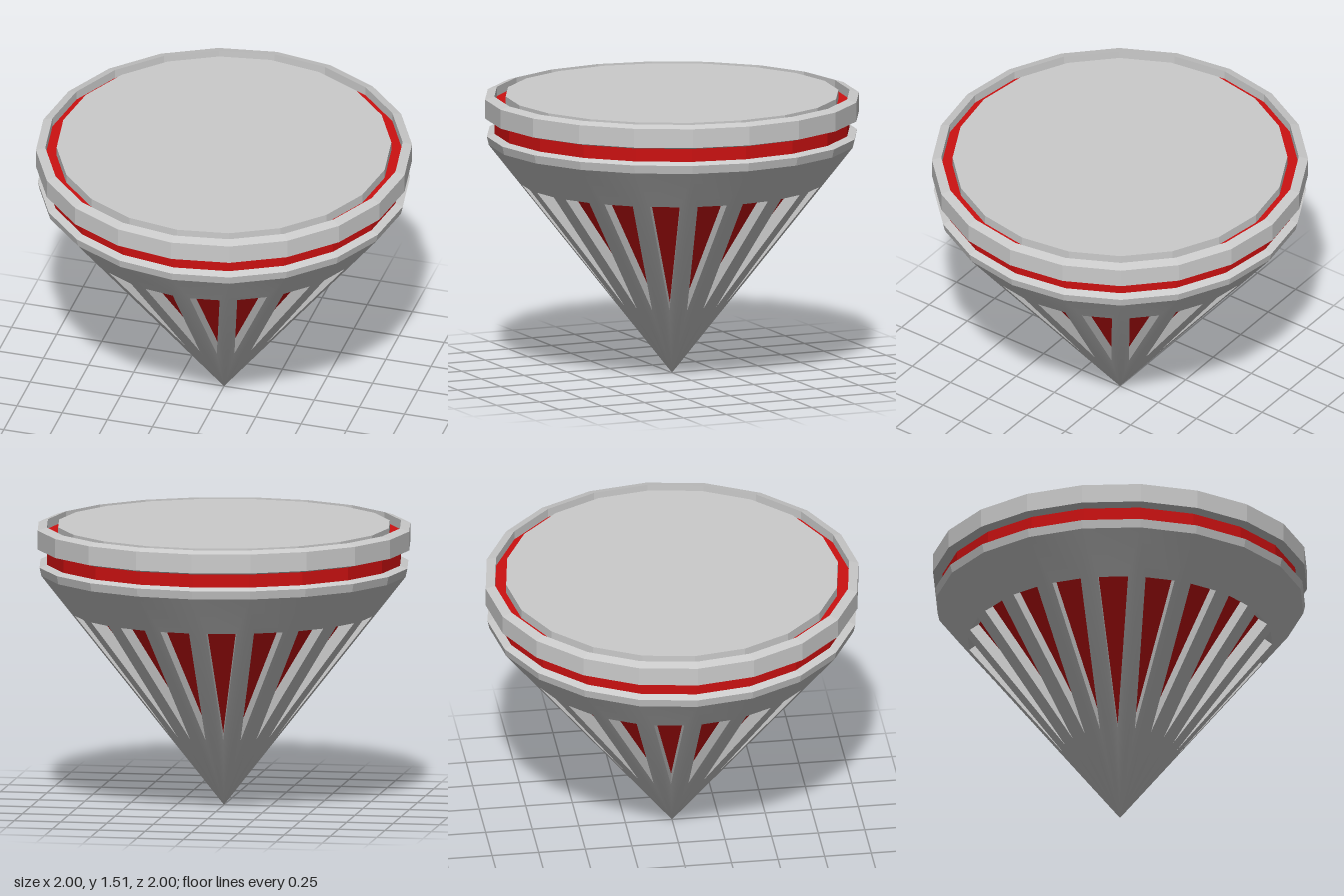
import * as THREE from 'three';
import { toCreasedNormals } from 'three/addons/utils/BufferGeometryUtils.js';

const SIDES = 20, STEP = (Math.PI * 2) / SIDES;
const CONE_TOP = 1.25, CONE_R = 0.98, SLOPE = CONE_R / CONE_TOP;
const WINDOW_TOP = 1.04, RIB_HALF = 0.0475, INSET = 0.08;

const grey = new THREE.MeshStandardMaterial({ color: 0xcccccc, flatShading: true });
const greySmooth = new THREE.MeshStandardMaterial({ color: 0xcccccc });
const red = new THREE.MeshStandardMaterial({ color: 0xcc1111, flatShading: true });

function add(group, name, geometry, material) {
  const mesh = new THREE.Mesh(geometry, material);
  mesh.name = name;
  group.add(mesh);
}

const lathe = (points) =>
  new THREE.LatheGeometry(points.map(([r, y]) => new THREE.Vector2(r, y)), SIDES);

// Conical shell: each facet has a tapering window, leaving ribs of constant width
function ribbedCone() {
  const pos = [];
  const tri = (...pts) => pts.forEach((p) => pos.push(p.x, p.y, p.z));
  const quad = (a, b, c, d) => { tri(a, b, c); tri(a, c, d); };
  const half = STEP / 2;
  const windowBottom = RIB_HALF / Math.sin(half) / SLOPE;
  for (let i = 0; i < SIDES; i++) {
    const mid = (i + 0.5) * STEP;
    // point on the facet at height y, u sideways from its centre line
    const on = (y, u) => {
      const d = y * SLOPE * Math.cos(half);
      return new THREE.Vector3(
        d * Math.sin(mid) + u * Math.cos(mid), y, d * Math.cos(mid) - u * Math.sin(mid));
    };
    const halfChord = (y) => y * SLOPE * Math.sin(half);
    const tip = on(0, 0);
    const a = on(CONE_TOP, -halfChord(CONE_TOP)), b = on(CONE_TOP, halfChord(CONE_TOP));
    const w = halfChord(WINDOW_TOP) - RIB_HALF;
    const low = on(windowBottom, 0), left = on(WINDOW_TOP, -w), right = on(WINDOW_TOP, w);
    quad(tip, low, left, a);
    quad(tip, b, right, low);
    quad(a, left, right, b);
    // window walls, straight in to the core
    const inward = b.clone().sub(tip).cross(a.clone().sub(tip)).normalize().multiplyScalar(-0.064);
    const axisward = new THREE.Vector3(-Math.sin(mid), 0, -Math.cos(mid));
    if (inward.dot(axisward) < 0) inward.negate();
    const rim = [low, right, left];
    rim.forEach((p, k) => {
      const q = rim[(k + 1) % 3];
      quad(p, q, q.clone().add(inward), p.clone().add(inward));
    });
  }
  const geometry = new THREE.BufferGeometry();
  geometry.setAttribute('position', new THREE.Float32BufferAttribute(pos, 3));
  return toCreasedNormals(geometry, Math.PI / 6);
}

export function createModel() {
  const group = new THREE.Group();
  group.name = 'conicalTop';

  add(group, 'ribbedCone', ribbedCone(), greySmooth);

  // Red core seen through the windows
  const coreTip = INSET / SLOPE;
  add(group, 'coreCone', lathe([[0, coreTip], [CONE_R - INSET, CONE_TOP], [0, CONE_TOP]]), red);

  // Band that caps the cone
  add(group, 'lowerBand', lathe([[0.98, 1.25], [0.99, 1.295], [0.95, 1.31], [0, 1.31]]), grey);

  // Red disc: side shows under the rim, top shows in the groove
  add(group, 'redDisc', lathe([[0.95, 1.3], [0.95, 1.46], [0, 1.46]]), red);

  // Outer rim with bevelled edges
  add(group, 'upperRim', lathe([
    [0.95, 1.38], [1, 1.393], [1, 1.495], [0.95, 1.51], [0.95, 1.38],
  ]), grey);

  // Flat lid inside the groove
  add(group, 'lid', lathe([[0.89, 1.45], [0.89, 1.51], [0, 1.51]]), grey);

  return group;
}
